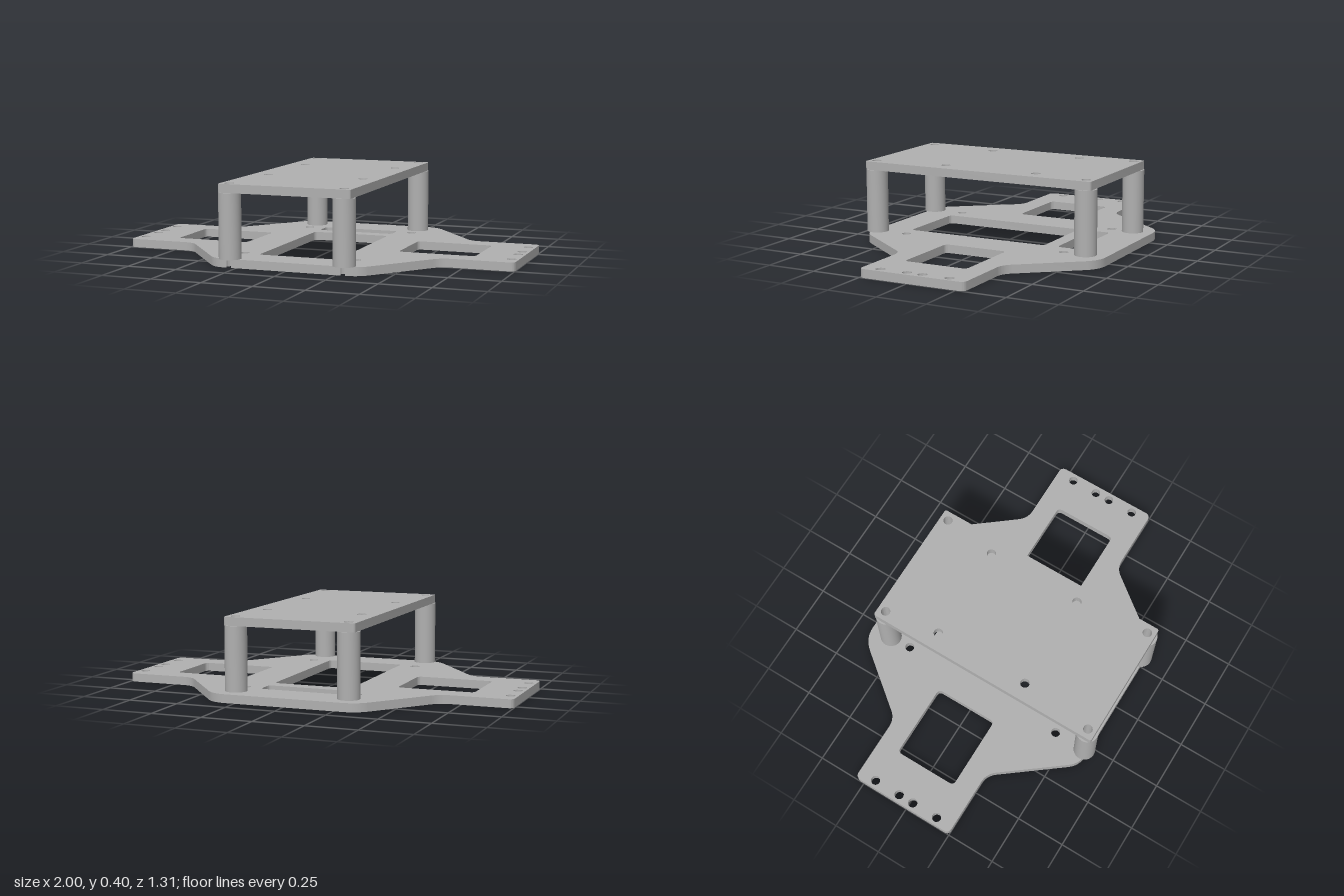
import * as THREE from 'three';
import { toCreasedNormals } from 'three/addons/utils/BufferGeometryUtils.js';

const HOLE = 0.023;
const POST_X = 0.286, POST_FRONT = 0.602, POST_BACK = -0.548;
const FRONT_EDGE = 0.622;

// Closed outline through [x, z, rounding] corners
function roundedPath(corners, PathType = THREE.Path) {
  const path = new PathType();
  const n = corners.length;
  corners.forEach(([x, z, r = 0], i) => {
    const p = new THREE.Vector2(x, z);
    const toward = (q) => new THREE.Vector2(q[0], q[1]).sub(p).setLength(r).add(p);
    const a = r ? toward(corners[(i + n - 1) % n]) : p;
    if (i === 0) path.moveTo(a.x, a.y); else path.lineTo(a.x, a.y);
    if (r) {
      const b = toward(corners[(i + 1) % n]);
      path.quadraticCurveTo(x, z, b.x, b.y);
    }
  });
  path.closePath();
  return path;
}

function rect(x0, x1, z0, z1, r, PathType) {
  return roundedPath([[x0, z0, r], [x1, z0, r], [x1, z1, r], [x0, z1, r]], PathType);
}

function circle(x, z, r, PathType = THREE.Path) {
  const path = new PathType();
  path.absarc(x, z, r, 0, Math.PI * 2, false);
  return path;
}

// Lay a shape drawn in x and z flat between two heights
function slab(name, shape, bottom, top, material) {
  const raw = new THREE.ExtrudeGeometry(shape, { depth: top - bottom, bevelEnabled: false, curveSegments: 14 });
  raw.rotateX(Math.PI / 2).translate(0, top, 0);
  const mesh = new THREE.Mesh(toCreasedNormals(raw, 0.6), material);
  mesh.name = name;
  return mesh;
}

// Screw hole that breaks through the front edge
function notch(cx) {
  const t = Math.asin((FRONT_EDGE - POST_FRONT) / HOLE);
  const from = Math.PI - t, to = 2 * Math.PI + t, steps = 24;
  return Array.from({ length: steps + 1 }, (_, i) => {
    const a = from + (to - from) * i / steps;
    return [cx + HOLE * Math.cos(a), POST_FRONT + HOLE * Math.sin(a), 0];
  });
}

export function createModel() {
  const model = new THREE.Group();
  model.name = 'plateChassis';
  const grey = new THREE.MeshStandardMaterial({ color: 0xb0b0b0 });
  grey.name = 'grey';

  // Base plate with side wings
  const half = [
    [0.361, FRONT_EDGE, 0.06], [0.648, 0.251, 0.05], [1, 0.251, 0.03],
    [1, -0.294, 0.03], [0.648, -0.294, 0.05], [0.363, -0.655, 0.07],
  ];
  const mirrored = half.map(([x, z, r]) => [-x, z, r]).reverse();
  const base = roundedPath([...half, ...mirrored, ...notch(-POST_X), ...notch(POST_X)], THREE.Shape);

  // Central window and rear slot
  base.holes.push(rect(-0.2, 0.2, -0.29, 0.457, 0.025), rect(-0.2, 0.2, -0.46, -0.36, 0.025));
  for (const s of [-1, 1]) {
    // Wing window, wing holes and inner screw holes
    base.holes.push(rect(Math.min(s * 0.4, s * 0.783), Math.max(s * 0.4, s * 0.783), -0.185, 0.142, 0.025));
    for (const z of [-0.2, -0.061, 0.019, 0.158]) base.holes.push(circle(s * 0.963, z, HOLE));
    for (const z of [-0.435, 0.435, POST_BACK]) base.holes.push(circle(s * POST_X, z, HOLE));
  }
  model.add(slab('basePlate', base, 0, 0.042, grey));

  // Top plate with its screw holes
  const deck = rect(-0.33, 0.33, -0.59, 0.643, 0.012, THREE.Shape);
  for (const s of [-1, 1]) {
    for (const z of [POST_BACK, POST_FRONT]) deck.holes.push(circle(s * POST_X, z, HOLE));
    for (const z of [-0.267, 0.227]) deck.holes.push(circle(s * 0.246, z, HOLE));
  }
  model.add(slab('topPlate', deck, 0.358, 0.4, grey));

  // Hollow spacer posts
  for (const s of [-1, 1]) {
    for (const z of [POST_BACK, POST_FRONT]) {
      const ring = circle(s * POST_X, z, 0.054, THREE.Shape);
      ring.holes.push(circle(s * POST_X, z, HOLE));
      const name = (z > 0 ? 'front' : 'back') + (s > 0 ? 'Left' : 'Right') + 'Post';
      model.add(slab(name, ring, 0.042, 0.358, grey));
    }
  }
  return model;
}
